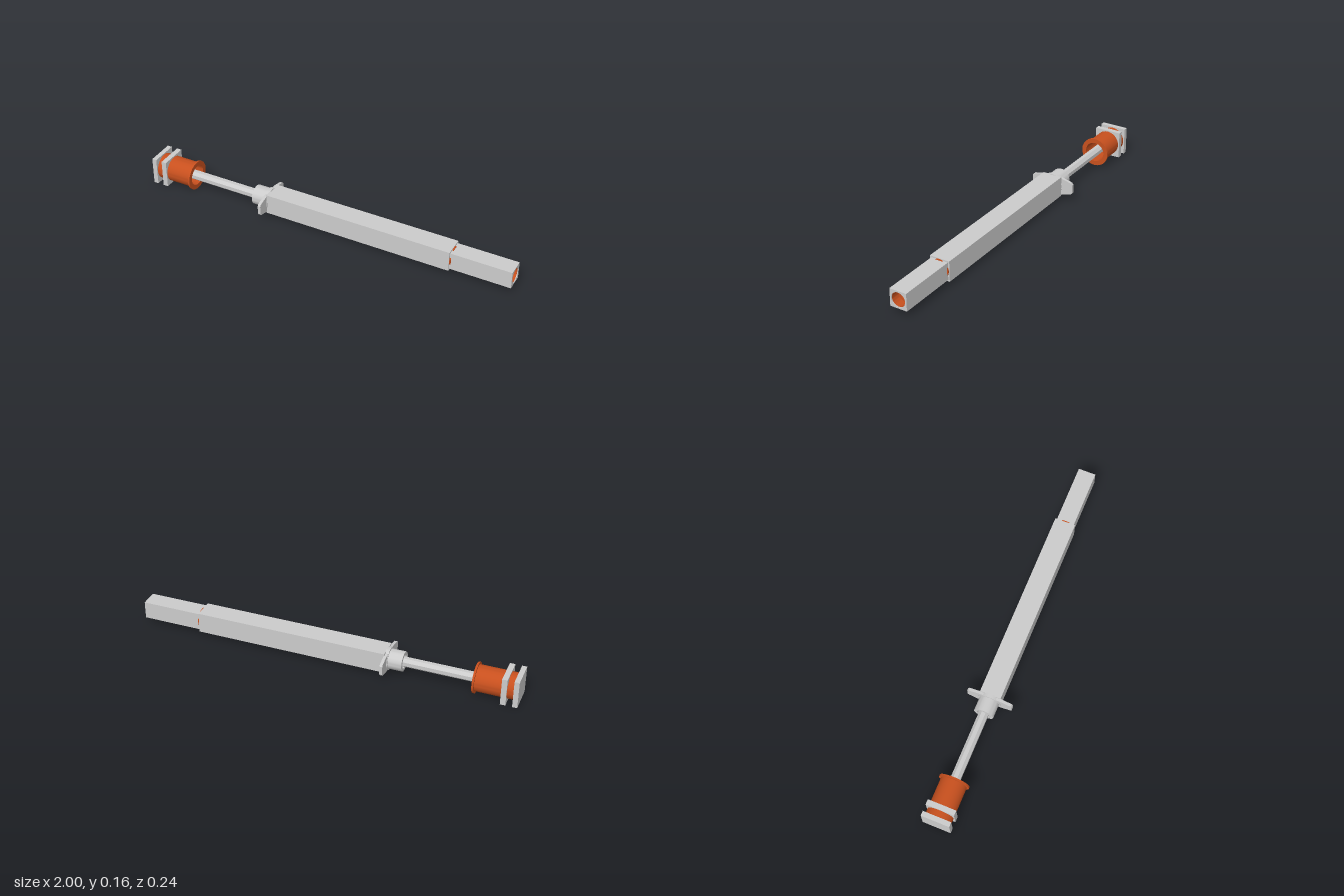
import * as THREE from 'three';
import { toCreasedNormals } from 'three/addons/utils/BufferGeometryUtils.js';

const AXIS = 0.079; // height of the long axis
const grey = new THREE.MeshStandardMaterial({ color: 0xcccccc });
const orange = new THREE.MeshStandardMaterial({ color: 0xc8501e });

export function createModel() {
  const group = new THREE.Group();

  function add(name, geometry, material) {
    const mesh = new THREE.Mesh(geometry, material);
    mesh.name = name;
    mesh.position.y = AXIS;
    group.add(mesh);
    return mesh;
  }

  // Turned part along x; profile is [radius, x] pairs
  function turned(name, profile, material, sides = 32) {
    const points = profile.map(([r, x]) => new THREE.Vector2(r, x));
    const geometry = new THREE.LatheGeometry(points, sides, Math.PI / sides).rotateZ(-Math.PI / 2);
    return add(name, toCreasedNormals(geometry, 0.6), material);
  }

  // Shape drawn in the z-y plane, extruded from x0 to x1
  function slab(name, shape, x0, x1, material) {
    const geometry = new THREE.ExtrudeGeometry(shape, { depth: x1 - x0, bevelEnabled: false, curveSegments: 24 });
    geometry.rotateY(Math.PI / 2).translate(x0, 0, 0);
    return add(name, toCreasedNormals(geometry, 0.6), material);
  }

  function square(half, hole) {
    const shape = new THREE.Shape([[-1, -1], [1, -1], [1, 1], [-1, 1]].map(([a, b]) => new THREE.Vector2(a * half, b * half)));
    if (hole) shape.holes.push(new THREE.Path().absarc(0, 0, hole, 0, Math.PI * 2, true));
    return shape;
  }

  // End knob: hollow spool with a lip, held by two square plates
  turned('spool', [
    [0, -0.98], [0.067, -0.98], [0.067, -0.781], [0.078, -0.781], [0.078, -0.771],
    [0.054, -0.771], [0.054, -0.915], [0, -0.915],
  ], orange, 40);
  slab('endPlate', square(0.073), -1, -0.975, grey);
  slab('innerPlate', square(0.073, 0.066), -0.942, -0.915, grey);

  // Eight-sided plunger rod
  turned('plungerRod', [[0, -0.93], [0.026, -0.93], [0.026, -0.3], [0, -0.3]], grey, 8);

  // Collar around the rod
  turned('collar', [[0.036, -0.41], [0.051, -0.41], [0.051, -0.32], [0.036, -0.32], [0.036, -0.41]], grey);

  // Finger flange: round middle with two tapered wings
  const wing = new THREE.Shape([
    [-0.05, -0.047], [0.05, -0.047], [0.111, -0.032], [0.118, -0.023], [0.118, 0.023], [0.111, 0.032],
    [0.05, 0.047], [-0.05, 0.047], [-0.111, 0.032], [-0.118, 0.023], [-0.118, -0.023], [-0.111, -0.032],
  ].map(([a, b]) => new THREE.Vector2(a, b)));
  slab('fingerFlange', wing, -0.335, -0.32, grey);
  turned('flangeDisc', [[0, -0.338], [0.058, -0.338], [0.058, -0.317], [0, -0.317]], grey);

  // Square outer sleeve, seal at its mouth, and the narrower square tube
  slab('outerSleeve', square(0.054), -0.322, 0.684, grey);
  turned('mouthSeal', [[0, 0.66], [0.0505, 0.66], [0.0505, 0.691], [0, 0.691]], orange);
  slab('innerTube', square(0.046, 0.038), 0.67, 1, grey);

  // Bore lining, stepped towards its floor
  turned('boreLining', [
    [0.0375, 0.7], [0.0375, 0.996], [0.036, 0.996], [0.036, 0.95], [0.028, 0.95], [0.028, 0.75], [0, 0.75],
  ], orange);

  return group;
}
